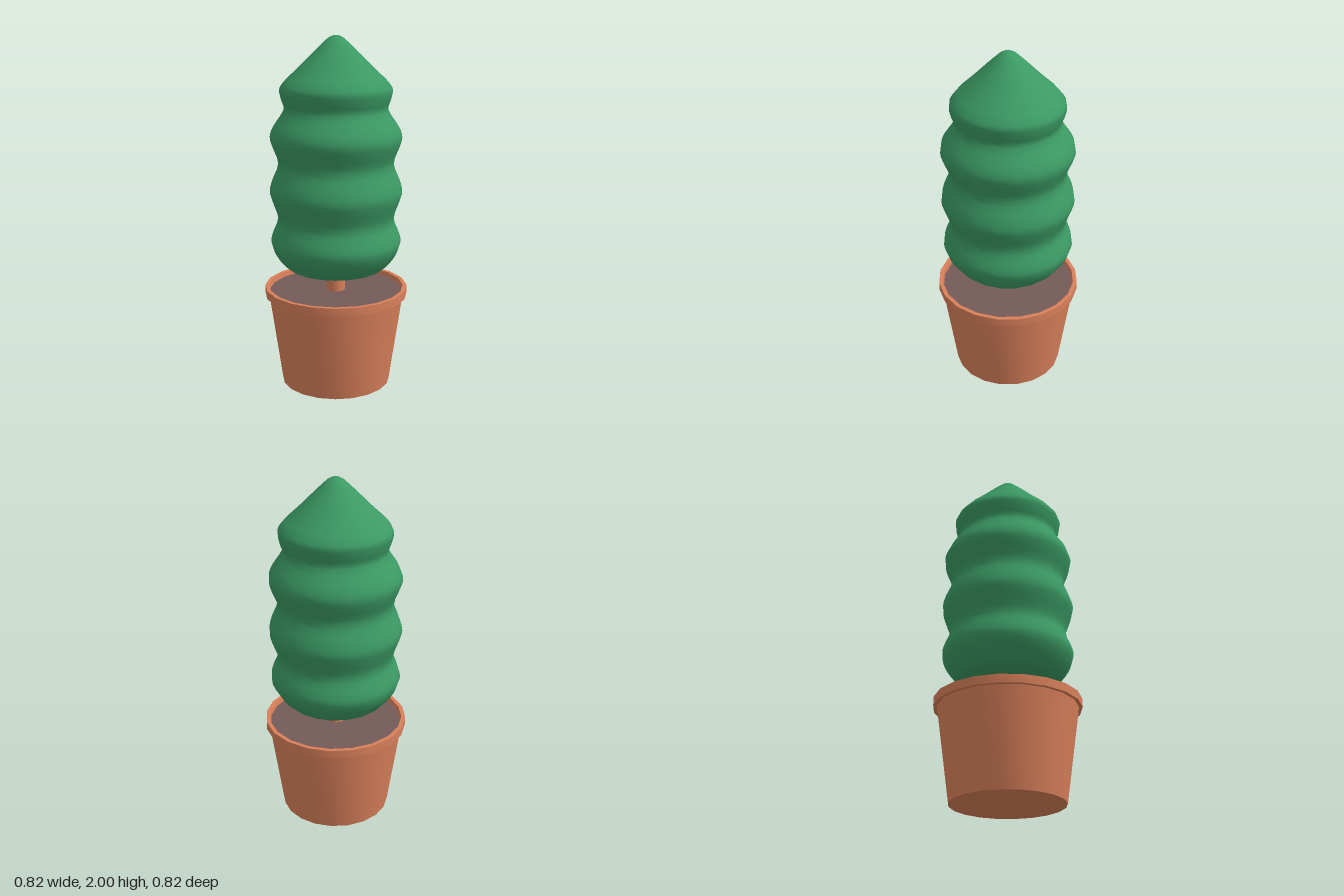
import * as THREE from 'three';
import { toCreasedNormals } from 'three/addons/utils/BufferGeometryUtils.js';

const SIDES = 20;
const material = (name, color) => new THREE.MeshStandardMaterial({ name, color });
const toPoints = (list) => list.map(([r, y]) => new THREE.Vector2(r, y));

export function createModel() {
  const terracotta = material('terracotta', 0xd9805a);
  const leafGreen = material('leafGreen', 0x3b9a63);
  const soilBrown = material('soilBrown', 0x735a57);

  const model = new THREE.Group();
  model.name = 'pottedTopiary';

  const add = (name, geometry, mat) => {
    const mesh = new THREE.Mesh(geometry, mat);
    mesh.name = name;
    model.add(mesh);
    return mesh;
  };
  const disc = (name, radius, y, mat, facesUp) => {
    const mesh = add(name, new THREE.CircleGeometry(radius, SIDES), mat);
    mesh.rotation.x = facesUp ? -Math.PI / 2 : Math.PI / 2;
    mesh.position.y = y;
  };

  // Pot: tapered wall, stepped rim and inner lip down to the soil
  const potProfile = toPoints([
    [0.315, 0], [0.39, 0.527], [0.41, 0.527], [0.41, 0.575],
    [0.387, 0.575], [0.38, 0.53],
  ]);
  add('pot', toCreasedNormals(new THREE.LatheGeometry(potProfile, SIDES), 0.6), terracotta);
  disc('potBase', 0.315, 0, terracotta, false);
  disc('soil', 0.384, 0.548, soilBrown, true);

  // Trunk
  const trunk = add('trunk', new THREE.CylinderGeometry(0.052, 0.052, 0.2, SIDES), terracotta);
  trunk.position.y = 0.63;

  // Foliage: four rounded tiers under a conical tip
  const tiers = new THREE.SplineCurve(toPoints([
    [0.22, 0.677], [0.275, 0.69], [0.335, 0.755], [0.37, 0.83], [0.36, 0.89],
    [0.33, 0.975], [0.36, 1.07], [0.375, 1.13], [0.36, 1.195],
    [0.325, 1.29], [0.355, 1.38], [0.37, 1.44], [0.35, 1.5],
    [0.292, 1.59], [0.303, 1.645], [0.314, 1.695], [0.305, 1.725], [0.275, 1.762],
  ])).getPoints(51);
  const tip = toPoints([
    [0.2, 1.832], [0.12, 1.912], [0.07, 1.96], [0.045, 1.983], [0.022, 1.996], [0, 2],
  ]);
  add('foliage', new THREE.LatheGeometry([...tiers, ...tip], SIDES), leafGreen);
  disc('foliageUnderside', 0.22, 0.677, leafGreen, false);

  return model;
}
